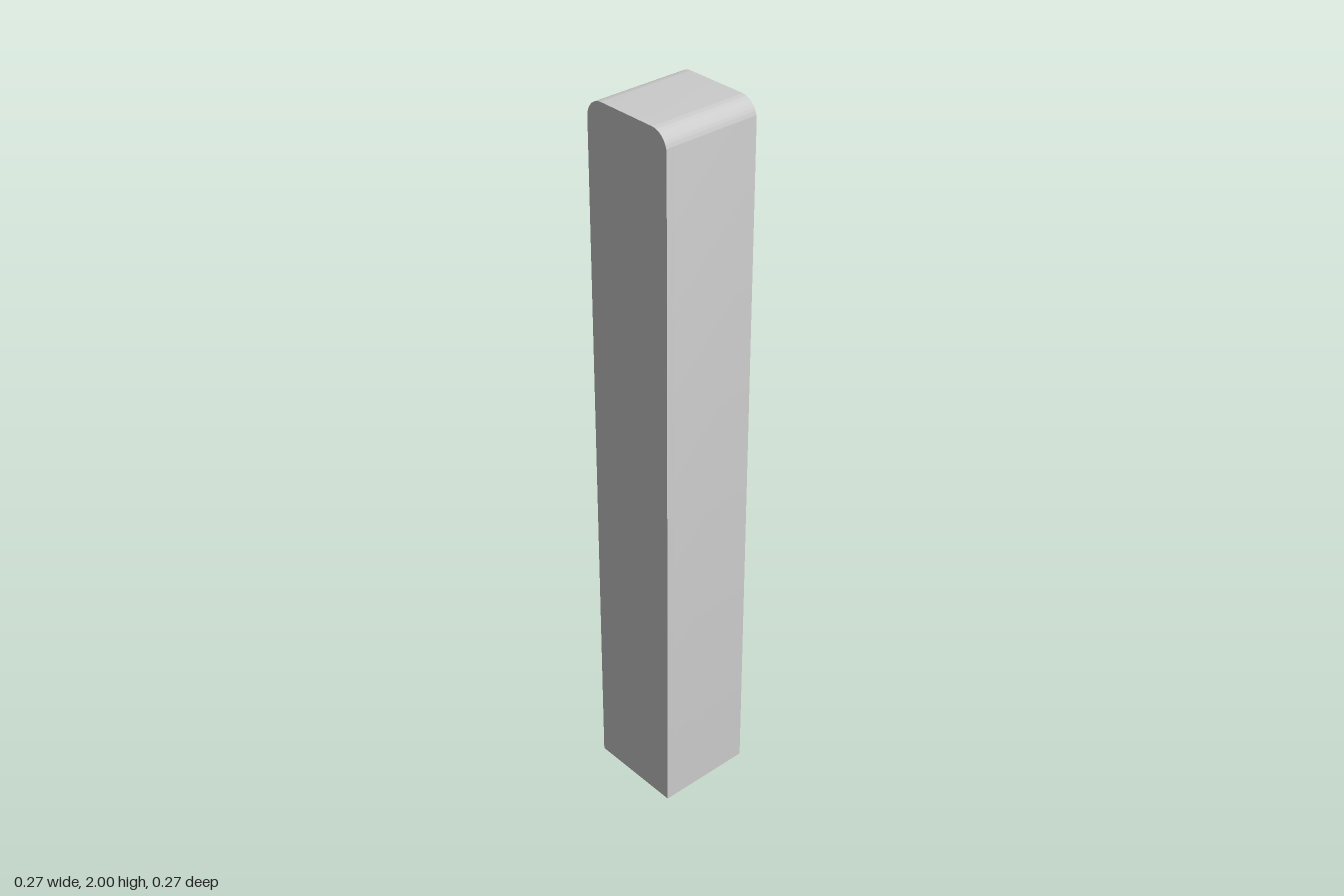
import * as THREE from 'three';
import { toCreasedNormals } from 'three/addons/utils/BufferGeometryUtils.js';

const H = 2, HALF = 0.137, WALL = 0.022, RADIUS = 0.05;

// Adds an upright arch outline with rounded top corners, from bottom right to bottom left
function archUp(shape, half, top, r) {
  shape.lineTo(half, top - r);
  shape.absarc(half - r, top - r, r, 0, Math.PI / 2, false);
  shape.lineTo(-half + r, top);
  shape.absarc(-half + r, top - r, r, Math.PI / 2, Math.PI, false);
  shape.lineTo(-half, 0);
}

function extrude(shape, z0, z1) {
  const geo = new THREE.ExtrudeGeometry(shape, { depth: z1 - z0, bevelEnabled: false, curveSegments: 12 });
  geo.translate(0, 0, z0);
  return toCreasedNormals(geo, Math.PI / 6);
}

export function createModel() {
  const group = new THREE.Group();
  group.name = 'cover';
  const material = new THREE.MeshStandardMaterial({ color: 0xcccccc });
  const add = (name, geo) => {
    const mesh = new THREE.Mesh(geo, material);
    mesh.name = name;
    group.add(mesh);
  };

  // Side walls and top in one bent strip, open at the back and bottom
  const strip = new THREE.Shape();
  strip.moveTo(HALF, 0);
  archUp(strip, HALF, H, RADIUS);
  const ih = HALF - WALL, it = H - WALL, ir = RADIUS - WALL;
  strip.lineTo(-ih, 0);
  strip.lineTo(-ih, it - ir);
  strip.absarc(-ih + ir, it - ir, ir, Math.PI, Math.PI / 2, true);
  strip.lineTo(ih - ir, it);
  strip.absarc(ih - ir, it - ir, ir, Math.PI / 2, 0, true);
  strip.lineTo(ih, 0);
  strip.closePath();
  add('wallsAndTop', extrude(strip, -HALF, HALF - WALL));

  // Front panel closing the strip
  const panel = new THREE.Shape();
  panel.moveTo(HALF, 0);
  archUp(panel, HALF, H, RADIUS);
  panel.closePath();
  add('frontPanel', extrude(panel, HALF - WALL, HALF));

  return group;
}
